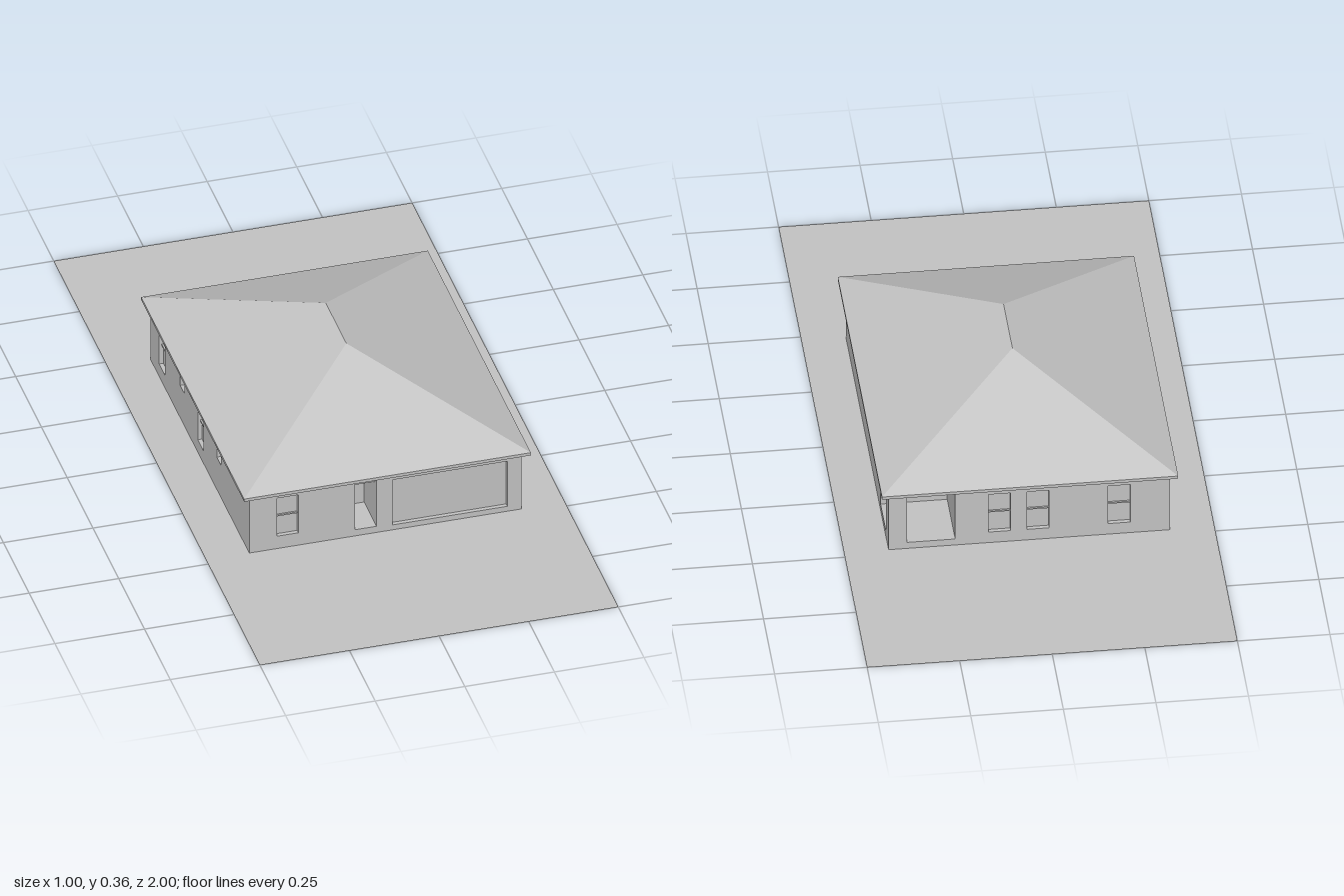
import * as THREE from 'three';

const T = 0.02;        // wall thickness
const WALL_H = 0.187;  // tucked just into the eave
const EAVE = 0.183;
const HX = 0.38, HZ = 0.48;

export function createModel() {
  const model = new THREE.Group();
  model.name = 'house';
  const grey = new THREE.MeshStandardMaterial({ color: 0xc4c4c4, side: THREE.DoubleSide });
  grey.name = 'plain grey';

  const add = (parent, name, geometry) => {
    const mesh = new THREE.Mesh(geometry, grey);
    mesh.name = name;
    parent.add(mesh);
    return mesh;
  };
  // Box given by its extents
  const box = (parent, name, x0, x1, y0, y1, z0, z1) => {
    const mesh = add(parent, name, new THREE.BoxGeometry(x1 - x0, y1 - y0, z1 - z0));
    mesh.position.set((x0 + x1) / 2, (y0 + y1) / 2, (z0 + z1) / 2);
    return mesh;
  };

  // Lot and floor slab
  add(model, 'ground', new THREE.PlaneGeometry(1, 2).rotateX(-Math.PI / 2));
  box(model, 'floorSlab', -HX + T, HX - T, 0.001, 0.02, -HZ + T, HZ - T);

  // One wall, local x running right as seen from outside.
  // Openings are [x0, x1, y0, y1, kind].
  function wall(name, halfLength, distance, angle, openings) {
    const group = new THREE.Group();
    group.name = name;
    const shape = new THREE.Shape();
    shape.moveTo(-halfLength, 0);
    shape.lineTo(halfLength, 0);
    shape.lineTo(halfLength, WALL_H);
    shape.lineTo(-halfLength, WALL_H);
    shape.closePath();
    for (const [x0, x1, y0, y1, kind] of openings) {
      const hole = new THREE.Path();
      hole.moveTo(x0, y0);
      hole.lineTo(x0, y1);
      hole.lineTo(x1, y1);
      hole.lineTo(x1, y0);
      hole.closePath();
      shape.holes.push(hole);
      if (kind === 'window') {
        const mid = (y0 + y1) / 2;
        box(group, 'windowPane', x0, x1, y0, y1, -0.016, -0.012);
        box(group, 'windowBar', x0, x1, mid - 0.002, mid + 0.002, -0.012, -0.007);
      } else if (kind === 'garage') {
        box(group, 'garageDoor', x0, x1, y0, y1 - 0.003, -0.018, -0.012);
      }
    }
    const geometry = new THREE.ExtrudeGeometry(shape, { depth: T, bevelEnabled: false });
    geometry.translate(0, 0, -T);
    add(group, name + 'Panel', geometry);
    group.rotation.y = angle;
    group.position.set(Math.sin(angle) * distance, 0, Math.cos(angle) * distance);
    model.add(group);
  }

  wall('frontWall', HX - T, HZ, 0, [
    [-0.303, -0.243, 0.04, 0.163, 'window'],
    [-0.085, -0.025, 0.02, EAVE, 'open'],
    [0.02, 0.34, 0.016, 0.162, 'garage'],
  ]);
  wall('backWall', HX - T, HZ, Math.PI, [
    [-0.33, -0.2, 0.02, EAVE, 'open'],
    [-0.11, -0.05, 0.035, 0.16, 'window'],
    [-0.006, 0.054, 0.035, 0.16, 'window'],
    [0.213, 0.273, 0.035, 0.16, 'window'],
  ]);
  wall('leftWall', HZ, HX, Math.PI / 2, [
    [0.13, 0.195, 0.1, 0.163, 'window'],
    [0.3, 0.42, 0.02, EAVE, 'open'],
  ]);
  wall('rightWall', HZ, HX, -Math.PI / 2, [
    [-0.395, -0.338, 0.04, 0.163, 'window'],
    [-0.19, -0.147, 0.105, 0.163, 'window'],
    [-0.02, 0.038, 0.04, 0.163, 'window'],
    [0.165, 0.205, 0.105, 0.163, 'window'],
  ]);

  // Recessed front entry
  const entry = new THREE.Group();
  entry.name = 'entry';
  model.add(entry);
  const entryBack = HZ - 0.12;
  box(entry, 'entrySide', -0.095, -0.085, 0.02, EAVE, entryBack, HZ - T);
  box(entry, 'entrySide', -0.025, -0.015, 0.02, EAVE, entryBack, HZ - T);
  box(entry, 'frontDoor', -0.095, -0.015, 0.02, EAVE, entryBack - 0.01, entryBack);
  box(entry, 'doorHeader', -0.085, -0.025, 0.155, EAVE, HZ - T, HZ - T + 0.005);

  // Corner porch at the back, open on two sides
  const porch = new THREE.Group();
  porch.name = 'porch';
  model.add(porch);
  box(porch, 'porchSideWall', 0.19, 0.2, 0.02, EAVE, -HZ + T, -0.29);
  box(porch, 'porchInnerWall', 0.2, HX - T, 0.02, EAVE, -0.3, -0.29);

  // Eave board and hipped roof
  box(model, 'eave', -0.4, 0.4, EAVE, 0.192, -0.5, 0.5);
  const [a, b, c, d, r, s] = [
    [-0.4, 0.192, 0.5], [0.4, 0.192, 0.5], [0.4, 0.192, -0.5], [-0.4, 0.192, -0.5],
    [0, 0.36, 0.1], [0, 0.36, -0.1],
  ];
  const faces = [a, b, r, b, c, s, b, s, r, c, d, s, d, a, r, d, r, s];
  const roof = new THREE.BufferGeometry();
  roof.setAttribute('position', new THREE.Float32BufferAttribute(faces.flat(), 3));
  roof.computeVertexNormals();
  add(model, 'roof', roof);

  return model;
}
